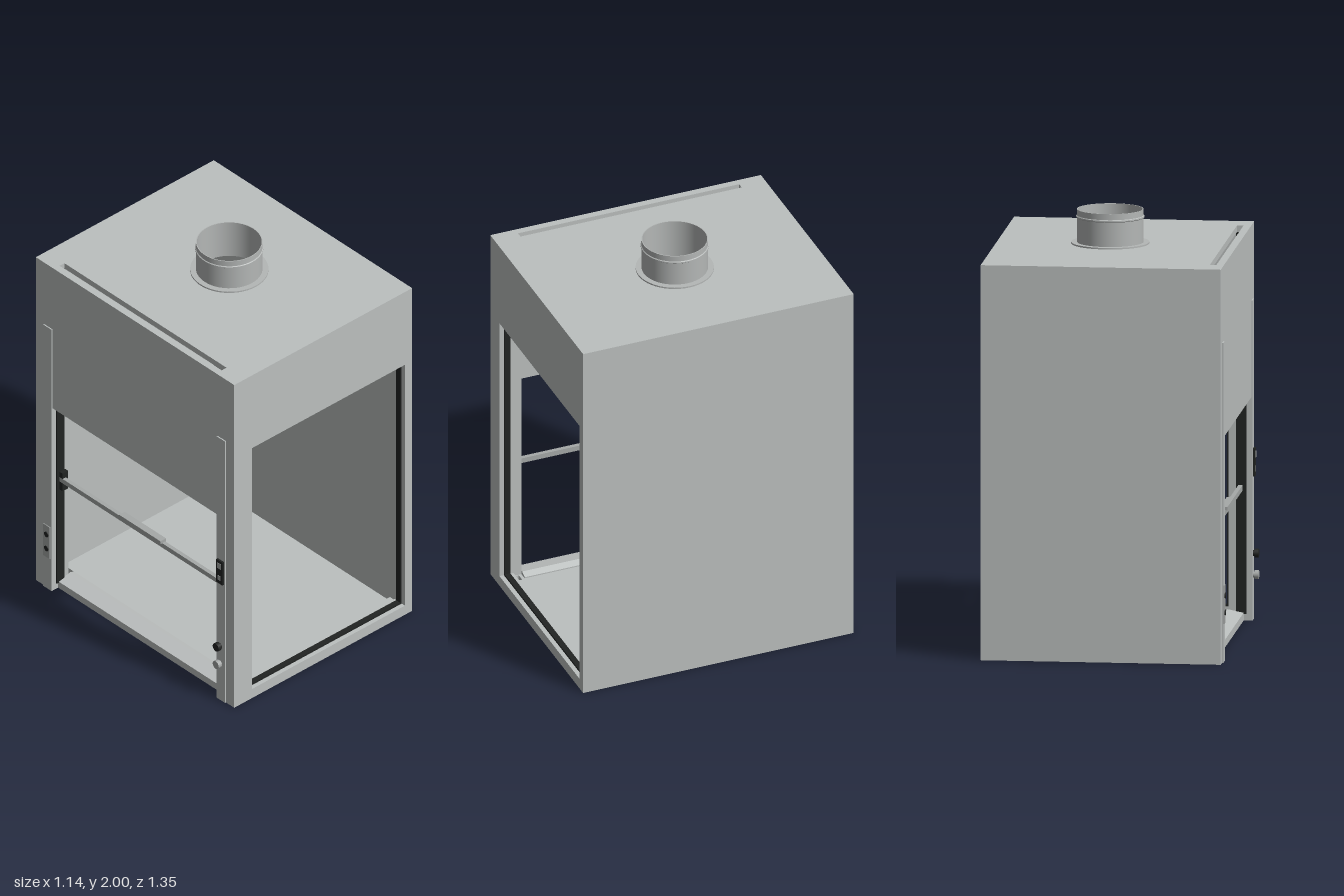
import * as THREE from 'three';

const mat = (name, color, extra = {}) => {
  const m = new THREE.MeshStandardMaterial({ color, ...extra });
  m.name = name;
  return m;
};

export function createModel() {
  const body = mat('light grey', 0xbcc0bf);
  const duct = mat('duct grey', 0xb4b7b6, { side: THREE.DoubleSide });
  const metal = mat('metal grey', 0xa6a9a8);
  const black = mat('black', 0x222423);
  const model = new THREE.Group();
  model.name = 'fumeHood';

  const add = (name, geometry, material) => {
    const mesh = new THREE.Mesh(geometry, material);
    mesh.name = name;
    model.add(mesh);
    return mesh;
  };
  // Box given by its minimum and maximum on each axis
  const box = (name, m, x0, x1, y0, y1, z0, z1) => {
    const mesh = add(name, new THREE.BoxGeometry(x1 - x0, y1 - y0, z1 - z0), m);
    mesh.position.set((x0 + x1) / 2, (y0 + y1) / 2, (z0 + z1) / 2);
    return mesh;
  };
  const rect = (Type, x0, x1, y0, y1) => new Type([
    [x0, y0], [x1, y0], [x1, y1], [x0, y1],
  ].map(([x, y]) => new THREE.Vector2(x, y)));
  const extrude = (shape, depth) =>
    new THREE.ExtrudeGeometry(shape, { depth, bevelEnabled: false, curveSegments: 24 });
  const slab = (name, shape, y, h) => {
    const mesh = add(name, extrude(shape, h), body);
    mesh.rotation.x = -Math.PI / 2;
    mesh.position.y = y;
  };

  const L = -0.54, R = 0.57, D = 0.673, TOP = 1.84, DUCT_X = 0.048;

  // Floor, notched between the posts, with a long slot and two small holes
  const floor = new THREE.Shape([
    [L, -D], [R, -D], [R, D], [L, D], [L, 0.56], [-0.505, 0.56], [-0.505, -0.56], [L, -0.56],
  ].map(([x, y]) => new THREE.Vector2(x, y)));
  floor.holes.push(rect(THREE.Path, 0.52, 0.54, -0.555, 0.555));
  for (const s of [-1, 1])
    floor.holes.push(rect(THREE.Path, -0.435, -0.395, s * 0.595 - 0.02, s * 0.595 + 0.02));
  slab('floor', floor, 0, 0.03);

  // Roof with the sash slot and the duct opening
  const roof = rect(THREE.Shape, L, R, -D, D);
  roof.holes.push(rect(THREE.Path, -0.505, -0.475, -0.55, 0.55));
  roof.holes.push(new THREE.Path().absarc(DUCT_X, 0, 0.15, 0, Math.PI * 2, true));
  slab('roof', roof, TOP - 0.03, 0.03);

  // Walls
  box('rightWall', body, 0.54, R, 0.03, TOP - 0.03, -D, D);
  box('backWall', body, L, 0.54, 0.03, TOP - 0.03, -D, -D + 0.03);
  const front = rect(THREE.Shape, L, R, 0.03, TOP - 0.03);
  front.holes.push(rect(THREE.Path, -0.43, 0.525, 0.052, 1.425));
  add('frontWall', extrude(front, 0.07), body).position.z = D - 0.07;

  // Dark seal around the front window
  const seal = rect(THREE.Shape, -0.43, 0.525, 0.052, 1.425);
  seal.holes.push(rect(THREE.Path, -0.421, 0.516, 0.061, 1.416));
  add('windowSeal', extrude(seal, 0.028), black).position.z = D - 0.05;

  // Upper panel over the side opening
  box('upperPanel', body, L, -0.515, 1.04, TOP - 0.03, -0.56, 0.56);

  // Side posts, sash tracks and trim strips
  for (const s of [-1, 1]) {
    const span = (a, b) => (s > 0 ? [a, b] : [-b, -a]);
    box('post', body, L, -0.44, 0.03, TOP - 0.03, ...span(0.56, s > 0 ? 0.605 : 0.645));
    box('sashTrack', black, -0.517, -0.47, 0.03, TOP - 0.03, ...span(0.555, 0.561));
    box('postTrim', body, L - 0.006, L, 0, 1.49, ...span(0.56, 0.617));
  }

  // Sloping sill along the side opening
  const sill = new THREE.Shape([
    [-0.505, 0.028], [-0.40, 0.028], [-0.40, 0.036], [-0.43, 0.05], [-0.505, 0.036],
  ].map(([x, y]) => new THREE.Vector2(x, y)));
  add('sill', extrude(sill, 1.12), body).position.z = -0.56;

  // Sash bottom rail with its handle
  box('sashRail', metal, -0.5, -0.48, 0.605, 0.63, -0.555, 0.555);
  box('sashHandle', metal, -0.51, -0.475, 0.628, 0.645, -0.14, 0.14);
  box('sashCatch', black, -0.5, -0.465, 0.56, 0.66, -0.555, -0.535);

  // Exhaust duct with flange and bead
  const profile = [
    [0.18, 1.84], [0.18, 1.847], [0.153, 1.847], [0.153, 1.96], [0.157, 1.963],
    [0.157, 1.969], [0.153, 1.972], [0.153, 2], [0.149, 2], [0.149, 1.81],
  ];
  // Each segment is its own lathe so that edges stay sharp
  for (let i = 0; i < profile.length - 1; i++) {
    const pts = [profile[i], profile[i + 1]].map(([x, y]) => new THREE.Vector2(x, y));
    add('exhaustDuct', new THREE.LatheGeometry(pts, 48), duct).position.x = DUCT_X;
  }

  // Control panel on the front post
  box('controlPanel', black, -0.556, L, 0.67, 0.8, 0.568, 0.61);
  box('controlDisplay', metal, -0.558, -0.556, 0.755, 0.785, 0.576, 0.602);
  box('controlButtons', metal, -0.558, -0.556, 0.69, 0.715, 0.58, 0.598);

  // Valve knobs on the front post
  const valve = (name, y, m) => {
    for (const [r, x0, x1] of [[0.014, -0.555, L], [0.021, -0.572, -0.553]]) {
      const knob = add(name, new THREE.CylinderGeometry(r, r, x1 - x0, 16), m);
      knob.rotation.z = Math.PI / 2;
      knob.position.set((x0 + x1) / 2, y, 0.582);
    }
  };
  valve('upperValve', 0.31, black);
  valve('lowerValve', 0.21, metal);

  // Socket plate on the rear post
  box('socketPlate', metal, -0.55, L, 0.18, 0.36, -0.612, -0.568);
  for (const y of [0.23, 0.31]) {
    const socket = add('socket', new THREE.CylinderGeometry(0.014, 0.014, 0.004, 16), black);
    socket.rotation.z = Math.PI / 2;
    socket.position.set(-0.551, y, -0.59);
  }
  return model;
}
